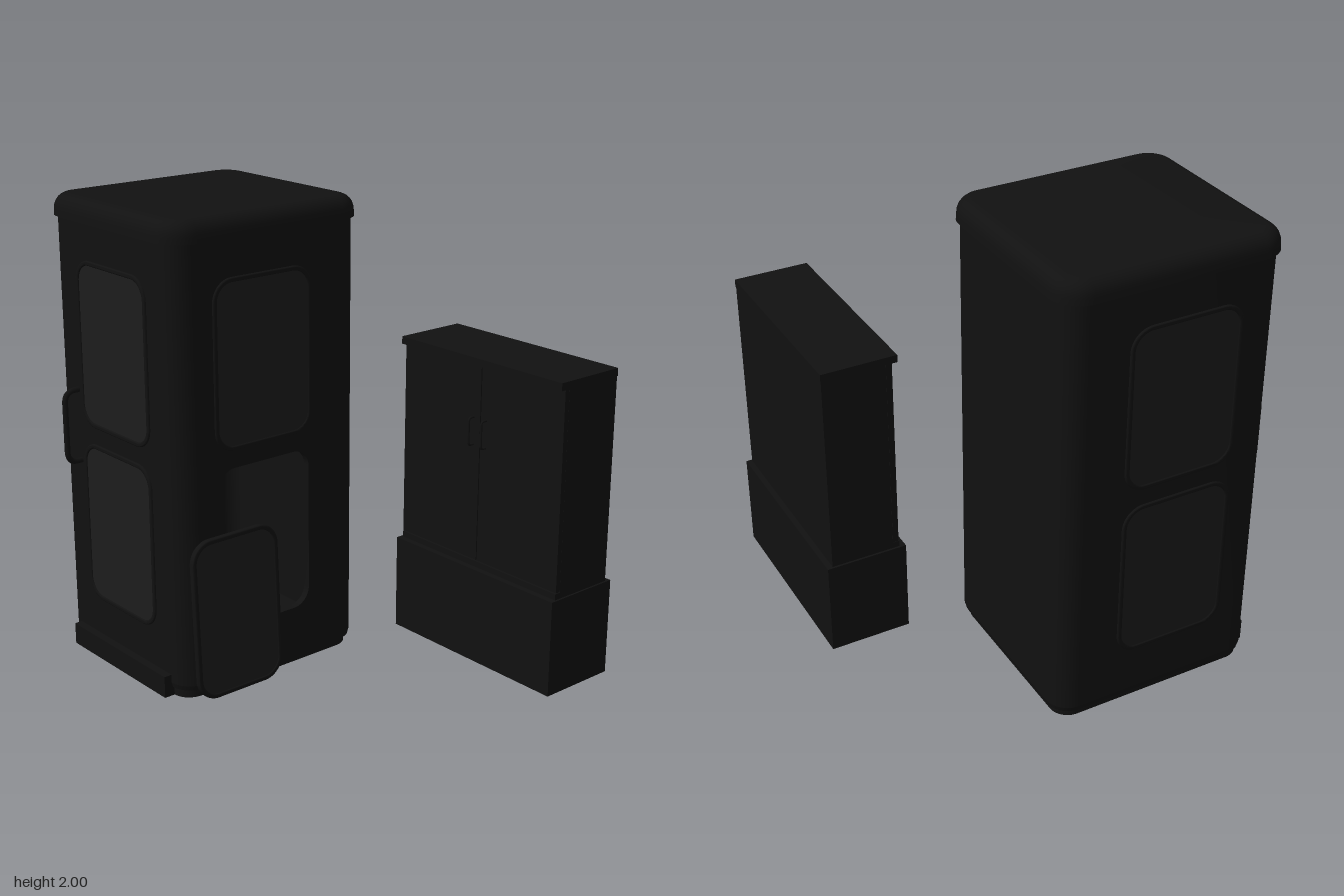
import * as THREE from 'three';
import { toCreasedNormals } from 'three/addons/utils/BufferGeometryUtils.js';

const dark = new THREE.MeshStandardMaterial({ color: 0x111111 });
const shell = new THREE.MeshStandardMaterial({ color: 0x111111, side: THREE.DoubleSide });
const glassMat = new THREE.MeshStandardMaterial({ color: 0x1c1c1c });

// Booth footprint
const X0 = -0.733, X1 = 0.204, Z0 = -0.894, Z1 = -0.008, R = 0.1, WALL = 0.03;
const CX = (X0 + X1) / 2, CZ = (Z0 + Z1) / 2;

function add(parent, name, geometry, material = dark, x = 0, y = 0, z = 0) {
  const mesh = new THREE.Mesh(geometry, material);
  mesh.name = name;
  mesh.position.set(x, y, z);
  parent.add(mesh);
  return mesh;
}

// Box given by its limits on each axis
function box(parent, name, xa, xb, ya, yb, za, zb) {
  return add(parent, name, new THREE.BoxGeometry(xb - xa, yb - ya, zb - za), dark,
    (xa + xb) / 2, (ya + yb) / 2, (za + zb) / 2);
}

// Rounded rectangle centred on (cx, cy)
function roundRect(w, h, r, cx = 0, cy = 0, PathType = THREE.Shape) {
  const p = new PathType(), a = w / 2 - r, b = h / 2 - r, q = Math.PI / 2;
  [[a, -b], [a, b], [-a, b], [-a, -b]].forEach(([x, y], i) =>
    p.absarc(cx + x, cy + y, r, (i - 1) * q, i * q, false));
  p.closePath();
  return p;
}

function extrude(shape, depth, bevel = 0) {
  const g = new THREE.ExtrudeGeometry(shape, {
    depth, curveSegments: 8, bevelEnabled: bevel > 0,
    bevelSize: bevel, bevelThickness: bevel, bevelSegments: 3, bevelOffset: -bevel,
  });
  return toCreasedNormals(g, 0.7);
}

// Closed solid from rounded-rectangle cross-sections [y, inset]
function loft(w, d, r, sections) {
  const S = 8, n = 4 * (S + 1), pos = [], idx = [];
  for (const [y, inset] of sections) {
    const rr = Math.max(r - inset, 0.01);
    for (let c = 0; c < 4; c++) {
      const sx = c === 0 || c === 3 ? 1 : -1, sz = c < 2 ? 1 : -1;
      for (let i = 0; i <= S; i++) {
        const t = (c + i / S) * Math.PI / 2;
        pos.push(sx * (w / 2 - inset - rr) + rr * Math.cos(t), y, sz * (d / 2 - inset - rr) + rr * Math.sin(t));
      }
    }
  }
  for (let s = 0; s < sections.length - 1; s++) {
    for (let i = 0; i < n; i++) {
      const a = s * n + i, b = s * n + (i + 1) % n;
      idx.push(a, a + n, b, b, a + n, b + n);
    }
  }
  const last = (sections.length - 1) * n;
  for (let i = 1; i < n - 1; i++) idx.push(0, i, i + 1, last, last + i + 1, last + i);
  const g = new THREE.BufferGeometry();
  g.setAttribute('position', new THREE.Float32BufferAttribute(pos, 3));
  g.setIndex(idx);
  return toCreasedNormals(g, 0.7);
}

// Framed pane facing +z, with its back at z = 0
function windowPane(name, w, h, depth) {
  const group = new THREE.Group();
  group.name = name;
  const ring = roundRect(w, h, 0.095);
  ring.holes.push(roundRect(w - 0.04, h - 0.04, 0.075, 0, 0, THREE.Path));
  add(group, 'windowFrame', extrude(ring, depth - 0.012, 0.006), dark, 0, 0, 0.006);
  add(group, 'windowGlass', extrude(roundRect(w - 0.03, h - 0.03, 0.08), depth - 0.008), glassMat, 0, 0, 0.003);
  return group;
}

// Squared loop handle reaching out to -x
function handle(parent, name, xWall, xOut, ya, yb, z, radius, bend) {
  const v = (x, y) => new THREE.Vector3(x, y, z);
  const path = new THREE.CurvePath();
  path.add(new THREE.LineCurve3(v(xWall, ya), v(xOut + bend, ya)));
  path.add(new THREE.QuadraticBezierCurve3(v(xOut + bend, ya), v(xOut, ya), v(xOut, ya + bend)));
  path.add(new THREE.LineCurve3(v(xOut, ya + bend), v(xOut, yb - bend)));
  path.add(new THREE.QuadraticBezierCurve3(v(xOut, yb - bend), v(xOut, yb), v(xOut + bend, yb)));
  path.add(new THREE.LineCurve3(v(xOut + bend, yb), v(xWall, yb)));
  add(parent, name, new THREE.TubeGeometry(path, 64, radius, 8));
}

function buildBooth() {
  const booth = new THREE.Group();
  booth.name = 'booth';
  const xl = X0 + R, xr = X1 - R, vf = -Z1 + R, vb = -Z0 - R, q = Math.PI / 2;

  // Hollow shell: both sides, the back and the four rounded corners
  const plan = new THREE.Shape();
  const corners = [[xr, vf], [xr, vb], [xl, vb], [xl, vf]];
  corners.forEach(([x, v], i) => plan.absarc(x, v, R, (i - 1) * q, i * q, false));
  [3, 2, 1, 0].forEach(i => plan.absarc(...corners[i], R - WALL, i * q, (i - 1) * q, true));
  plan.closePath();
  const walls = extrude(plan, 1.86);
  walls.rotateX(-Math.PI / 2);
  add(booth, 'walls', walls, dark, 0, 0.06, 0);

  // Front wall with the open lower window
  const front = new THREE.Shape([[xl, 0.06], [xr, 0.06], [xr, 1.92], [xl, 1.92]].map(p => new THREE.Vector2(...p)));
  front.holes.push(roundRect(0.465, 0.705, 0.08, -0.31, 0.617, THREE.Path));
  add(booth, 'frontWall', extrude(front, WALL), dark, 0, 0, Z1 - WALL);

  // Floor with a softened lower edge, base plate and rounded roof
  add(booth, 'floor', loft(X1 - X0, Z1 - Z0, R, [[0.03, 0.02], [0.038, 0.006], [0.06, 0]]), dark, CX, 0, CZ);
  add(booth, 'basePlate', loft(0.9, 0.84, 0.08, [[0, 0], [0.035, 0]]), dark, CX - 0.005, 0, CZ);
  const roof = [[1.91, 0.015], [1.91, 0], [1.935, 0.002]];
  for (let i = 1; i <= 6; i++) {
    const t = i / 6 * q;
    roof.push([1.935 + 0.065 * Math.sin(t), 0.002 + 0.06 * (1 - Math.cos(t))]);
  }
  add(booth, 'roof', loft(0.974, 0.915, 0.12, roof), dark, CX, 0, CZ - 0.001);

  // Windows: front upper, back pair and door pair
  const place = (name, y, x, z, turn) => {
    const pane = windowPane(name, 0.497, 0.71, WALL + 0.014);
    pane.position.set(x, y, z);
    pane.rotation.y = turn;
    booth.add(pane);
  };
  const inset = WALL + 0.006;
  place('frontUpperWindow', 1.4, -0.31, Z1 - inset, 0);
  for (const [level, y] of [['Upper', 1.4], ['Lower', 0.617]]) {
    place(`back${level}Window`, y, -0.31, Z0 + inset, Math.PI);
    place(`door${level}Window`, y, X0 + inset, CZ, -q);
  }

  // Doorstep and door handle
  box(booth, 'doorstep', -0.768, -0.69, 0, 0.095, -0.795, -0.11);
  handle(booth, 'doorHandle', X0 + 0.01, -0.802, 0.873, 1.186, -0.727, 0.0125, 0.05);
  return booth;
}

function buildCabinet() {
  const cabinet = new THREE.Group();
  cabinet.name = 'cabinet';

  // Pedestal, open underneath
  const pedestal = new THREE.BoxGeometry(0.36, 0.425, 0.93);
  const index = Array.from(pedestal.index.array);
  index.splice(18, 6);
  pedestal.setIndex(index);
  add(cabinet, 'pedestal', pedestal, shell, 0.63, 0.2125, 0.44);

  // Case, lid with a lip, and a pair of doors
  box(cabinet, 'case', 0.503, 0.785, 0.425, 1.33, -0.015, 0.897);
  box(cabinet, 'doorSill', 0.476, 0.503, 0.425, 0.452, -0.015, 0.897);
  box(cabinet, 'lid', 0.455, 0.787, 1.322, 1.355, -0.017, 0.899);
  for (const s of [-1, 1]) {
    const mid = 0.44 + s * 0.2295;
    box(cabinet, 'cabinetDoor', 0.48, 0.506, 0.455, 1.322, mid - 0.227, mid + 0.227);
    handle(cabinet, 'cabinetHandle', 0.485, 0.451, 0.97, 1.09, 0.437 + s * 0.036, 0.005, 0.015);
  }
  return cabinet;
}

export function createModel() {
  const model = new THREE.Group();
  model.name = 'boothAndCabinet';
  model.add(buildBooth(), buildCabinet());

  // Removed pane leaning against the front
  const loose = windowPane('loosePane', 0.434, 0.69, 0.028);
  loose.position.set(-0.489, 0.358, 0.012);
  loose.rotation.x = -0.05;
  model.add(loose);
  return model;
}
